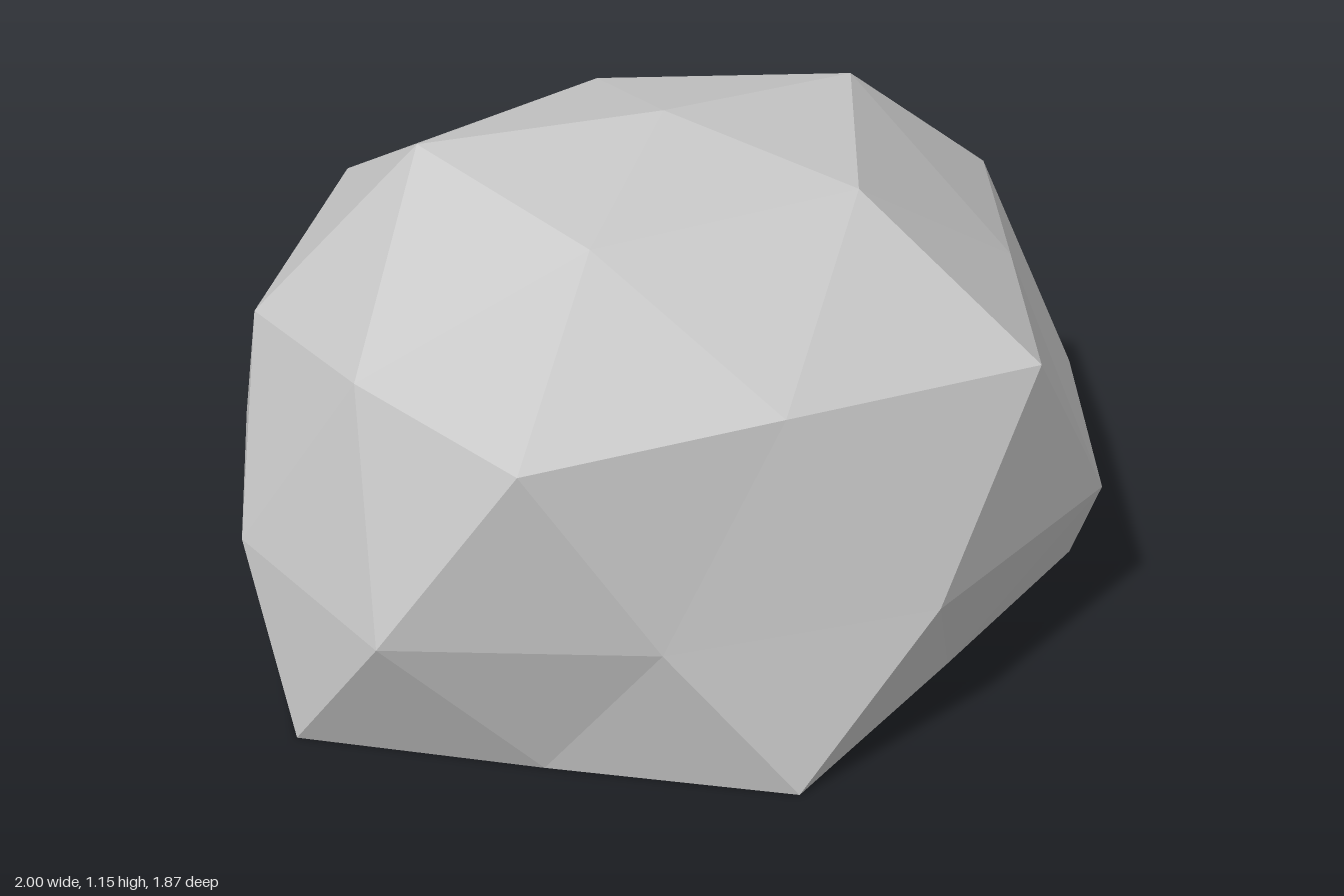
import * as THREE from 'three';

// Faceted boulder: a squashed, uneven icosphere cut flat at the ground.
const CENTER = new THREE.Vector3(0, 0.34, 0.05);
const SQUASH = new THREE.Vector3(1, 0.866, 0.866);

// Point on the boulder from an azimuth (degrees, +x towards +z), unit height and radius
function point(azimuth, height, radius) {
  const a = THREE.MathUtils.degToRad(azimuth);
  const flat = Math.sqrt(1 - height * height);
  return new THREE.Vector3(Math.cos(a) * flat, height, Math.sin(a) * flat)
    .multiplyScalar(radius).multiply(SQUASH).add(CENTER);
}

export function createModel() {
  const stone = new THREE.MeshStandardMaterial({ color: 0xc5c5c5, flatShading: true });
  stone.name = 'stone grey';

  // Rings from the crown down to the ground
  const top = point(0, 1, 0.94);
  const crown = [1.025, 1.0, 0.96, 1.04, 0.965].map((r, k) => point(72 * k, 0.8507, r));
  const shoulder = [1.085, 0.943, 1.13, 0.978, 1.08, 0.96, 1.03, 1.093, 0.995, 0.99]
    .map((r, j) => point(36 * j, j % 2 ? 0.5257 : 0.4472, r));
  const waist = [1.05, 1.06, 1.02, 0.94, 1.03, 0.988, 1.045, 1.143, 0.945, 1.01]
    .map((r, j) => point(18 + 36 * j, 0, r));
  const foot = [[0.86, 0.05], [0.8, 0.55], [0.25, 0.715], [-0.33, 0.88], [-0.67, 0.47],
    [-1, 0.05], [-0.755, -0.4], [-0.28, -0.65], [0.25, -0.655], [0.75, -0.42]]
    .map(([x, z]) => new THREE.Vector3(x, 0, z));
  const base = new THREE.Vector3(0, 0, 0.05);

  const corners = [];
  const face = (...pts) => corners.push(...pts);

  // Crown cap
  for (let k = 0; k < 5; k++) {
    const a = crown[k], next = crown[(k + 1) % 5];
    const ridge = shoulder[2 * k], after = shoulder[2 * k + 1], before = shoulder[(2 * k + 9) % 10];
    face(top, next, a);
    face(a, next, after);
    face(a, after, ridge);
    face(a, ridge, before);
  }

  // Sides and flat underside
  for (let j = 0; j < 10; j++) {
    const n = (j + 1) % 10, p = (j + 9) % 10;
    face(shoulder[j], waist[j], waist[p]);
    face(shoulder[j], shoulder[n], waist[j]);
    face(waist[p], waist[j], foot[j]);
    face(waist[j], foot[n], foot[j]);
    face(base, foot[j], foot[n]);
  }

  const geometry = new THREE.BufferGeometry().setFromPoints(corners);
  geometry.computeVertexNormals();
  const boulder = new THREE.Mesh(geometry, stone);
  boulder.name = 'boulder';

  const model = new THREE.Group();
  model.name = 'rock';
  model.add(boulder);
  return model;
}
